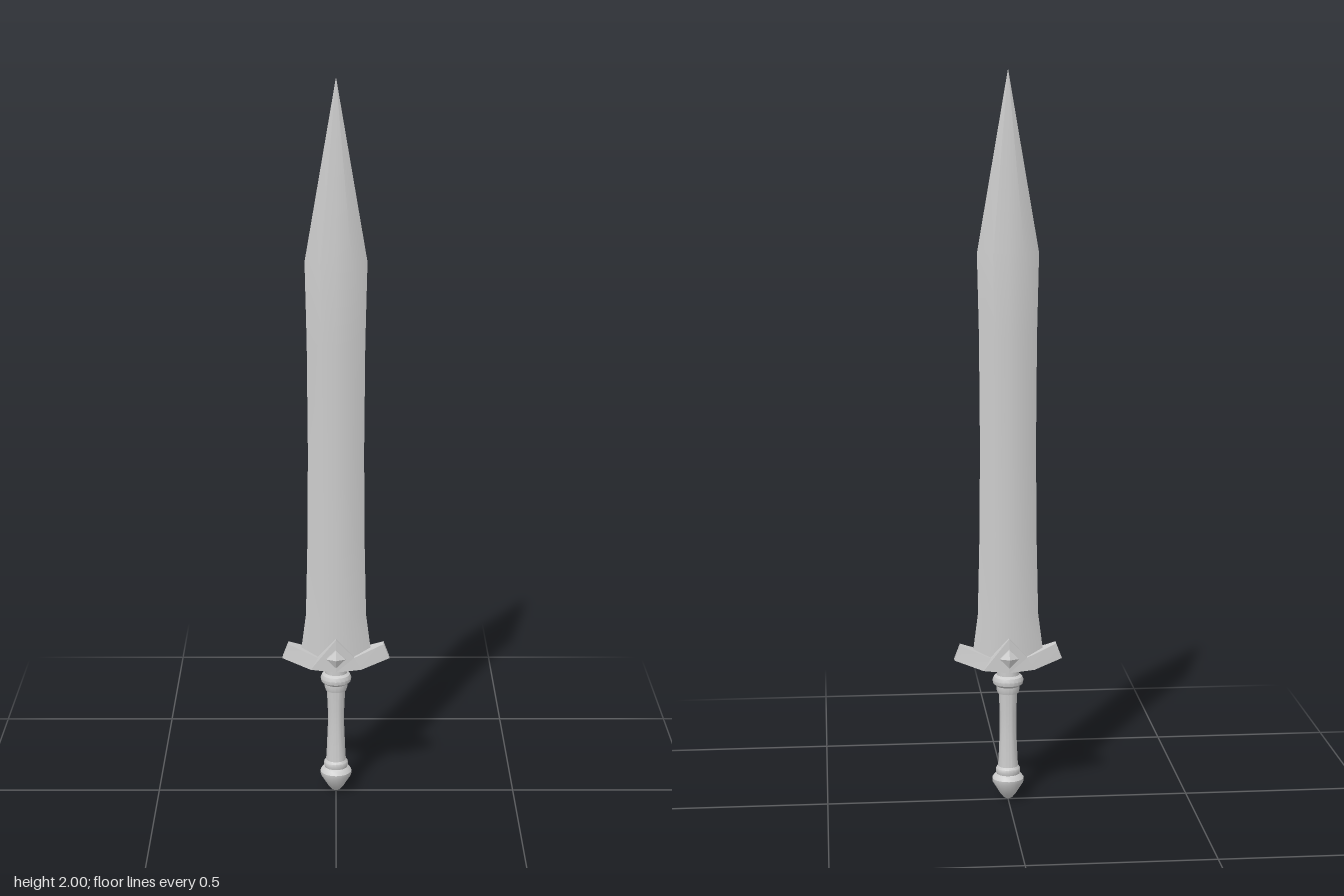
import * as THREE from 'three';
import { toCreasedNormals } from 'three/addons/utils/BufferGeometryUtils.js';

const material = new THREE.MeshStandardMaterial({ color: 0xcccccc });

// Skin a list of equal-sized rings and close both ends.
function loft(rings) {
  const n = rings[0].length;
  const index = [];
  for (let i = 0; i < rings.length - 1; i++) {
    for (let j = 0; j < n; j++) {
      const a = i * n + j, b = i * n + (j + 1) % n;
      index.push(a, b, a + n, b, b + n, a + n);
    }
  }
  const last = (rings.length - 1) * n;
  for (let k = 1; k < n - 1; k++) {
    index.push(0, k + 1, k, last, last + k, last + k + 1);
  }
  const geometry = new THREE.BufferGeometry();
  geometry.setAttribute('position', new THREE.Float32BufferAttribute(rings.flat(2), 3));
  geometry.setIndex(index);
  return geometry;
}

function addMesh(parent, name, geometry, crease) {
  const mesh = new THREE.Mesh(toCreasedNormals(geometry, crease), material);
  mesh.name = name;
  parent.add(mesh);
  return mesh;
}

// Eight-sided blade section: sharp edges, shallow central ridge.
function bladeRing([y, w, t]) {
  const u = [1, 0.5, 0, -0.5, -1, -0.5, 0, 0.5];
  const v = [0, -0.88, -1, -0.88, 0, 0.88, 1, 0.88];
  return u.map((s, i) => [s * w, y, v[i] * t]);
}

// Guard section: rectangle with separate top and bottom x.
function guardRing([xb, yb, xt, yt, z]) {
  return [[xt, yt, -z], [xt, yt, z], [xb, yb, z], [xb, yb, -z]];
}

export function createModel() {
  const sword = new THREE.Group();
  sword.name = 'sword';

  // Blade: height, half width, half thickness
  const blade = [
    [0.40, 0.098, 0.028], [0.43, 0.096, 0.028], [0.53, 0.083, 0.028],
    [0.75, 0.078, 0.027], [1.0, 0.076, 0.027], [1.3, 0.078, 0.027],
    [1.52, 0.083, 0.027], [2.0, 0.0005, 0.0005],
  ];
  addMesh(sword, 'blade', loft(blade.map(bladeRing)), 0.6);

  // Crossguard: winged half mirrored about the peak
  const half = [[0.148, 0.405, 0.132, 0.447, 0.011], [0.07, 0.38, 0.05, 0.415, 0.034]];
  const mirrored = half.map(([xb, yb, xt, yt, z]) => [-xb, yb, -xt, yt, z]);
  const sections = [...mirrored, [0, 0.374, 0, 0.47, 0.04], ...half.slice().reverse()];
  addMesh(sword, 'crossguard', loft(sections.map(guardRing)), 0.05);

  // Pointed gem on each face of the guard
  const gemProfile = [[0.026, 0.03], [0.026, 0.046], [0, 0.058]];
  for (const side of [1, -1]) {
    const gem = new THREE.LatheGeometry(gemProfile.map(p => new THREE.Vector2(...p)), 4);
    gem.rotateX(side * Math.PI / 2);
    gem.translate(0, 0.415, 0);
    addMesh(sword, side > 0 ? 'frontGem' : 'backGem', gem, 0.05);
  }

  // Turned hilt: radius, height
  const turned = {
    pommel: [[0, 0], [0.012, 0.006], [0.022, 0.018], [0.043, 0.052], [0.044, 0.063],
      [0.038, 0.072], [0.032, 0.076], [0.034, 0.083], [0.033, 0.092], [0.028, 0.098], [0, 0.098]],
    grip: [[0.028, 0.095], [0.026, 0.13], [0.023, 0.2], [0.023, 0.25], [0.026, 0.315]],
    collar: [[0, 0.308], [0.029, 0.308], [0.032, 0.318], [0.032, 0.328], [0.041, 0.335],
      [0.043, 0.345], [0.039, 0.355], [0.031, 0.36], [0.031, 0.385]],
  };
  for (const [name, profile] of Object.entries(turned)) {
    const geometry = new THREE.LatheGeometry(profile.map(p => new THREE.Vector2(...p)), 20);
    addMesh(sword, name, geometry, 0.6);
  }

  return sword;
}
